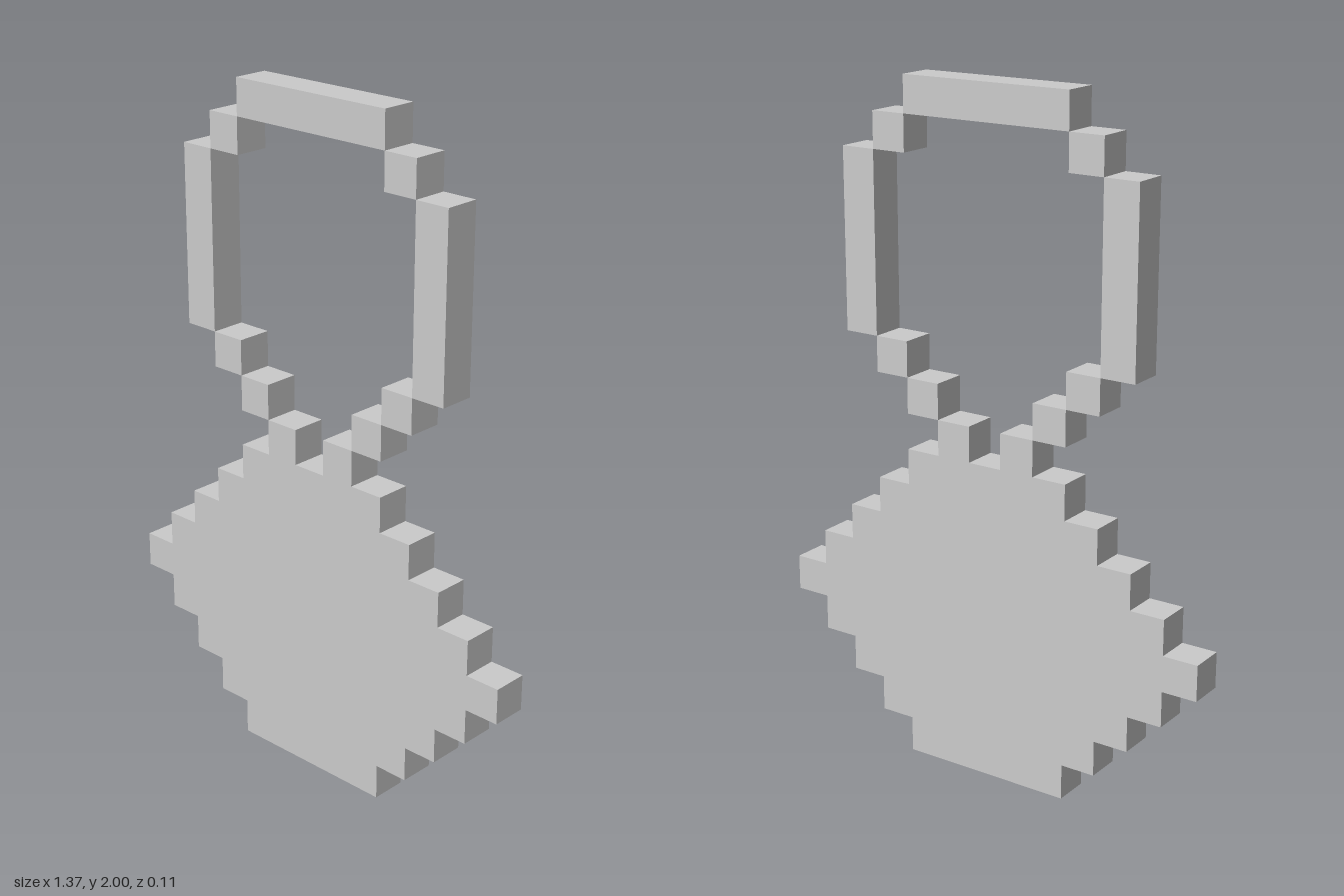
import * as THREE from 'three';

const U = 2 / 19; // one pixel block
const material = new THREE.MeshStandardMaterial({ color: 0xcccccc, flatShading: true });

// Box measured in blocks: centre column, bottom row, width, height
function block(name, column, row, width, height) {
  const mesh = new THREE.Mesh(new THREE.BoxGeometry(width * U, height * U, U), material);
  mesh.position.set(column * U, (row + height / 2) * U, 0);
  mesh.name = name;
  return mesh;
}

// Stepped gem: one solid slab outlined from its row widths
function createGem() {
  const rowWidths = [5, 7, 9, 11, 13, 11, 9, 7, 5];
  const right = rowWidths.flatMap((w, row) => [
    new THREE.Vector2(w / 2 * U, row * U),
    new THREE.Vector2(w / 2 * U, (row + 1) * U),
  ]);
  const left = right.map((p) => new THREE.Vector2(-p.x, p.y)).reverse();
  const geometry = new THREE.ExtrudeGeometry(new THREE.Shape([...right, ...left]), {
    depth: U,
    bevelEnabled: false,
  });
  geometry.translate(0, 0, -U / 2);
  const gem = new THREE.Mesh(geometry, material);
  gem.name = 'gem';
  return gem;
}

// Open band rising from the gem, mirrored left and right
function createBand() {
  const band = new THREE.Group();
  band.name = 'band';
  for (const [side, s] of [['left', 1], ['right', -1]]) {
    for (let i = 0; i < 3; i++) {
      band.add(block(`${side}LowerStep${i + 1}`, s * (i + 1), 9 + i, 1, 1));
    }
    band.add(block(`${side}BandSide`, s * 4, 12, 1, 5));
    band.add(block(`${side}UpperStep`, s * 3, 17, 1, 1));
  }
  band.add(block('bandTop', 0, 18, 5, 1));
  return band;
}

export function createModel() {
  const model = new THREE.Group();
  model.name = 'pixelPendant';
  model.add(createGem(), createBand());
  return model;
}
